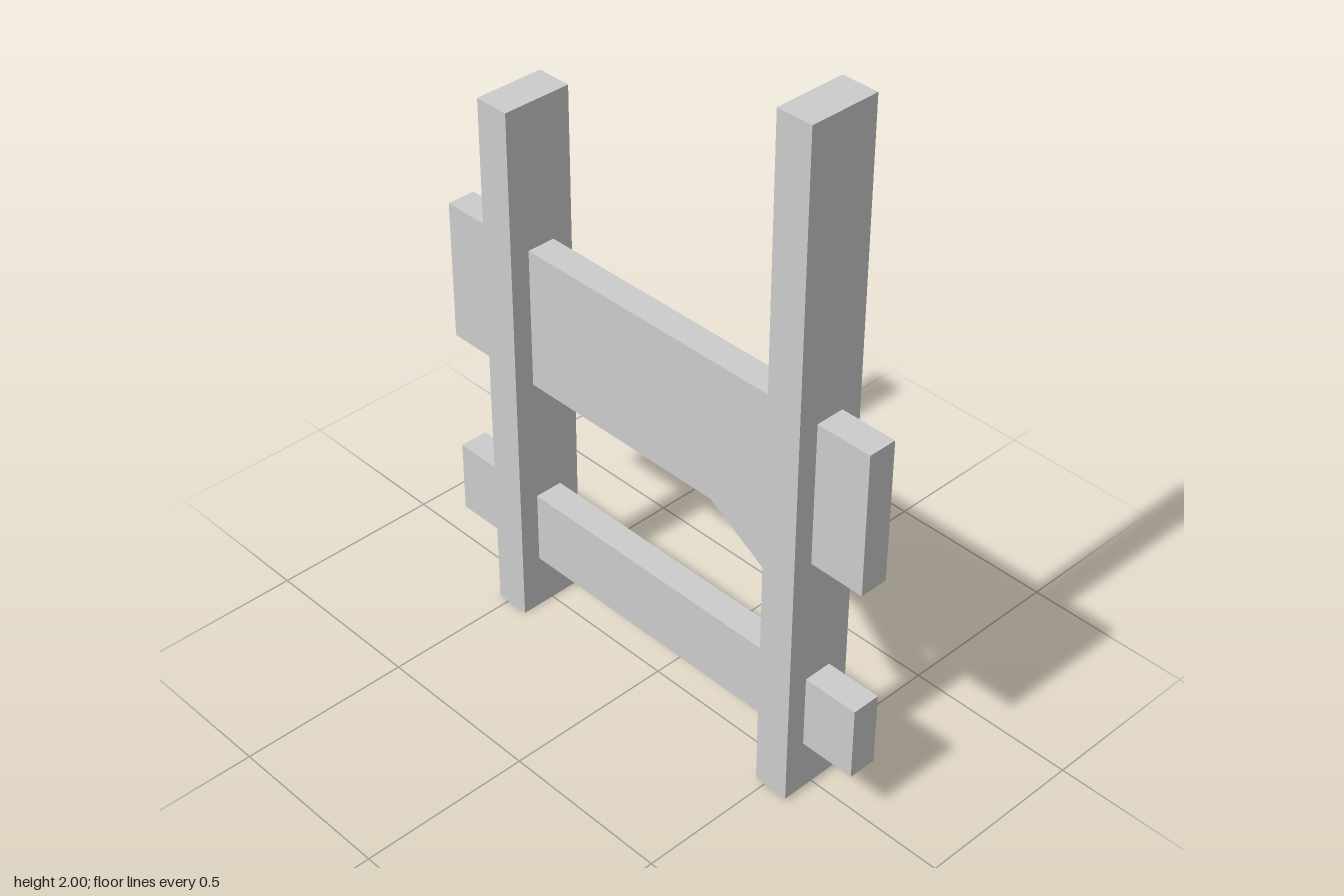
import * as THREE from 'three';

export function createModel() {
  const model = new THREE.Group();
  const grey = new THREE.MeshStandardMaterial({ color: 0xcccccc });
  grey.name = 'plain grey';

  // Adds a box given its extents on each axis
  function plank(name, [x0, x1], [y0, y1], [z0, z1]) {
    const mesh = new THREE.Mesh(new THREE.BoxGeometry(x1 - x0, y1 - y0, z1 - z0), grey);
    mesh.position.set((x0 + x1) / 2, (y0 + y1) / 2, (z0 + z1) / 2);
    mesh.name = name;
    model.add(mesh);
  }

  // Adds a thin slanted strip
  function strip(name, length, x, y, z, slope, yaw = 0) {
    const mesh = new THREE.Mesh(new THREE.BoxGeometry(length, 0.123, 0.004), grey);
    mesh.position.set(x, y, z);
    mesh.rotation.set(0, yaw, THREE.MathUtils.degToRad(slope));
    mesh.name = name;
    model.add(mesh);
  }

  // Upright posts
  const postDepth = [-0.103, 0.103];
  plank('shortPost', [-0.535, -0.43], [0, 1.605], postDepth);
  plank('tallPost', [0.475, 0.58], [0.01, 2], postDepth);

  // Horizontal boards passing through the posts
  const boardDepth = [-0.04, 0.044];
  plank('wideBoard', [-0.745, 0.745], [0.76, 1.18], boardDepth);
  plank('narrowBoard', [-0.745, 0.745], [0.165, 0.385], boardDepth);

  // Thin strips under and behind the wide board
  strip('tallPostStrip', 0.39, 0.32, 0.683, -0.015, -31);
  strip('shortPostStrip', 0.39, -0.309, 0.779, -0.01, 4.5);
  strip('backStrip', 0.4, -0.3, 1.0, -0.043, 33, -0.025);

  return model;
}
